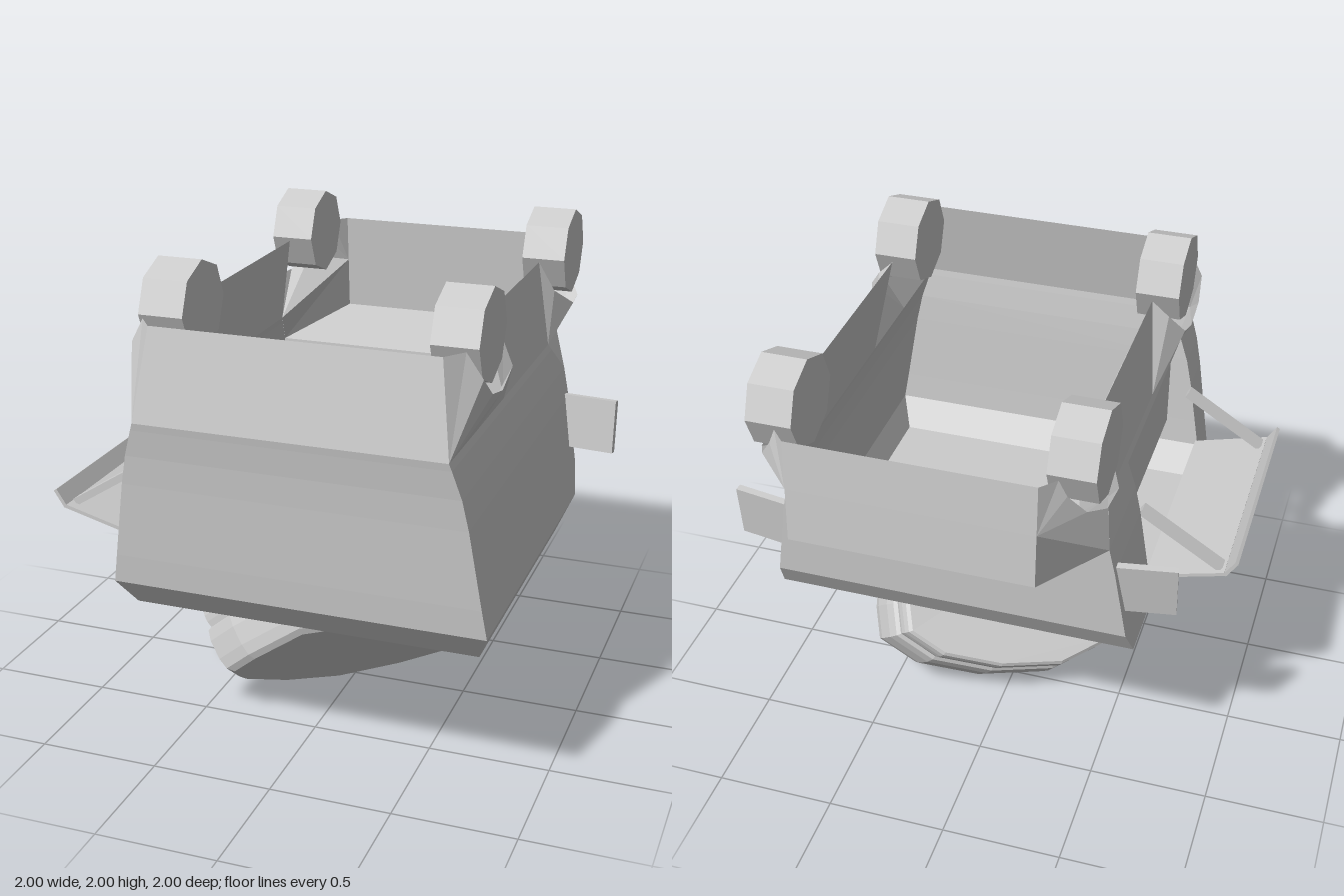
import * as THREE from 'three';

const MAT = new THREE.MeshStandardMaterial({ color: 0xcccccc, flatShading: true, side: THREE.DoubleSide });
const CX = 0.09; // centre line of the van

function add(parent, geo, name) {
  const m = new THREE.Mesh(geo, MAT);
  m.name = name;
  parent.add(m);
  return m;
}

// Flat-shaded panels from a list of quads / triangles
function panels(faces) {
  const pos = [];
  for (const f of faces)
    for (let i = 1; i < f.length - 1; i++) pos.push(...f[0], ...f[i], ...f[i + 1]);
  const g = new THREE.BufferGeometry();
  g.setAttribute('position', new THREE.Float32BufferAttribute(pos, 3));
  g.computeVertexNormals();
  return g;
}

// Horizontal levels of the cabin: y, half width, z of tail, z of nose
const LEVELS = [
  [0.65, 0.70, 0.85, -0.38], [0.77, 0.75, 0.94, -0.53], [0.89, 0.73, 0.95, -0.60],
  [1.20, 0.68, 0.97, -0.615], [1.32, 0.655, 0.98, -0.62], [1.43, 0.62, 0.995, -0.51], [1.46, 0.61, 1.0, -0.48],
];
// Fixed points on the lower edge of the skirt
const TAIL = [0.61, 1.46, 1.0], MID = [0.61, 1.46, 0.62], DOOR = [0.61, 1.46, 0.26];
const SILL = [0.61, 1.46, -0.48], NOSE = [0.475, 1.62, -0.985];
// Lower and upper edge of the skirt with its two wheel arches
const SKIRT = [
  [TAIL, [0.56, 1.82, 0.93]], [TAIL, [0.62, 1.82, 0.85]], [TAIL, [0.68, 1.72, 0.83]],
  [TAIL, [0.69, 1.64, 0.74]], [MID, [0.69, 1.61, 0.6]], [DOOR, [0.69, 1.66, 0.46]],
  [DOOR, [0.63, 1.75, 0.4]], [DOOR, [0.56, 1.82, 0.385]], [SILL, [0.56, 1.82, -0.46]],
  [SILL, [0.62, 1.69, -0.51]], [SILL, [0.68, 1.615, -0.62]], [SILL, [0.67, 1.615, -0.75]],
  [NOSE, [0.62, 1.66, -0.85]], [NOSE, [0.56, 1.75, -0.9]], [NOSE, [0.53, 1.82, -0.91]],
  [NOSE, [0.475, 1.82, -0.97]],
];
const HATCH = [-0.2, 0.77]; // z range of the serving hatch

function sideWall(s) {
  const faces = [];
  const P = (x, y, z) => [CX + s * x, y, z];
  for (let i = 0; i < LEVELS.length - 1; i++) {
    const [y0, h0, b0, f0] = LEVELS[i], [y1, h1, b1, f1] = LEVELS[i + 1];
    const strip = (za0, zb0, za1, zb1) =>
      faces.push([P(h0, y0, za0), P(h0, y0, zb0), P(h1, y1, zb1), P(h1, y1, za1)]);
    if (s < 0 && y0 >= 0.89 && y1 <= 1.43) {
      strip(f0, HATCH[0], f1, HATCH[0]);
      strip(HATCH[1], b0, HATCH[1], b1);
    } else strip(f0, b0, f1, b1);
  }
  for (let i = 0; i < SKIRT.length - 1; i++) {
    const [a, b] = SKIRT[i], [c, d] = SKIRT[i + 1];
    if (a !== c) faces.push([P(...a), P(...c), P(...d)]);
    faces.push([P(...a), P(...d), P(...b)]);
  }
  // Side of the hood
  faces.push([P(0.655, 1.32, -0.62), P(...SILL), P(...NOSE), P(0.475, 1.4, -1.0)]);
  return panels(faces);
}

// Panel across the van between two [half width, y, z] edges
const across = (a, b) => [
  [CX - a[0], a[1], a[2]], [CX + a[0], a[1], a[2]], [CX + b[0], b[1], b[2]], [CX - b[0], b[1], b[2]],
];

function buildBody() {
  const g = new THREE.Group();
  g.name = 'body';
  add(g, sideWall(1), 'leftWall');
  add(g, sideWall(-1), 'rightWall');
  const tail = [], nose = [];
  for (let i = 0; i < LEVELS.length - 1; i++) {
    const [y0, h0, b0, f0] = LEVELS[i], [y1, h1, b1, f1] = LEVELS[i + 1];
    tail.push(across([h0, y0, b0], [h1, y1, b1]));
    if (y1 <= 1.32) nose.push(across([h0, y0, f0], [h1, y1, f1]));
  }
  tail.push(across(TAIL, [0.56, 1.82, 0.93]));
  add(g, panels(tail), 'tailWall');
  add(g, panels(nose), 'windshield');
  add(g, panels([across([0.70, 0.65, 0.85], [0.70, 0.65, -0.38])]), 'roof');
  add(g, panels([
    across([0.655, 1.32, -0.62], [0.475, 1.4, -1.0]),
    across([0.475, 1.4, -1.0], NOSE),
    across(NOSE, [0.475, 1.82, -0.97]),
  ]), 'hood');
  return g;
}

// Box stretched between two points of the xy plane
function bar(parent, name, [x0, y0], [x1, y1], thick, z0, z1) {
  const m = add(parent, new THREE.BoxGeometry(Math.hypot(x1 - x0, y1 - y0), thick, z1 - z0), name);
  m.position.set((x0 + x1) / 2, (y0 + y1) / 2, (z0 + z1) / 2);
  m.rotation.z = Math.atan2(y1 - y0, x1 - x0);
}

function buildHatch() {
  const g = new THREE.Group();
  g.name = 'servingHatch';
  bar(g, 'awning', [-0.63, 0.895], [-0.95, 0.98], 0.015, -0.22, 0.78);
  bar(g, 'awningLip', [-0.95, 0.975], [-0.995, 1.045], 0.015, -0.22, 0.78);
  for (const z of [-0.2, 0.69]) bar(g, 'strut', [-0.93, 0.985], [-0.59, 1.2], 0.03, z, z + 0.05);
  // Counter inside the hatch
  bar(g, 'counter', [-0.52, 1.26], [-0.33, 1.26], 0.32, -0.16, 0.62);
  bar(g, 'counterEnd', [-0.42, 1.2], [-0.33, 1.2], 0.2, 0.62, 0.70);
  return g;
}

// One layer of the tilted roof snack, between two depths below its lower face
function snackLayer(t0, t1, size, bevel) {
  const half = [[0.415, 0], [0.534, 0.23], [0.575, 0.36], [0.48, 0.49], [0.26, 0.6]];
  const outline = [...half, [0, 0.655], ...half.map(([u, v]) => [-u, v]).reverse()];
  const geo = new THREE.ExtrudeGeometry(
    new THREE.Shape(outline.map(([u, v]) => new THREE.Vector2(u * size, v * size))),
    { depth: t1 - t0 - 2 * bevel, bevelThickness: bevel, bevelSize: bevel * 0.45, bevelSegments: 2 },
  );
  geo.translate(0, 0, bevel - t1);
  geo.applyMatrix4(new THREE.Matrix4().makeBasis(
    new THREE.Vector3(-0.796, 0, 0.605),
    new THREE.Vector3(-0.56, -0.715, -0.42),
    new THREE.Vector3(0.62, -0.62, 0.44),
  ).setPosition(0.31, 0.47, 0.33));
  // Flat where it sits against the roof
  const p = geo.attributes.position;
  for (let i = 0; i < p.count; i++) p.setY(i, THREE.MathUtils.clamp(p.getY(i), 0, 0.625));
  geo.computeVertexNormals();
  return geo;
}

export function createModel() {
  const root = new THREE.Group();
  root.name = 'overturnedFoodVan';
  root.add(buildBody(), buildHatch());
  add(root, snackLayer(0, 0.23, 1, 0.07), 'snackShell');
  add(root, snackLayer(0.21, 0.32, 0.99, 0.04), 'snackBackShell');

  for (const s of [-1, 1]) {
    // Octagonal wheels
    for (const z of [0.62, -0.70]) {
      const w = add(root, new THREE.CylinderGeometry(0.185, 0.185, 0.18, 8).rotateZ(Math.PI / 2), 'wheel');
      w.position.set(CX - 0.0025 + s * 0.5675, 1.82, z);
      w.scale.set(1, 0.973, 1.02);
    }
    // Door mirrors
    const m = add(root, new THREE.BoxGeometry(0.24, 0.23, 0.03), 'mirror');
    m.position.set(CX + s * 0.79, 1.105, -0.545);
    m.rotation.set(-0.1, -s * 0.15, 0);
  }
  return root;
}
